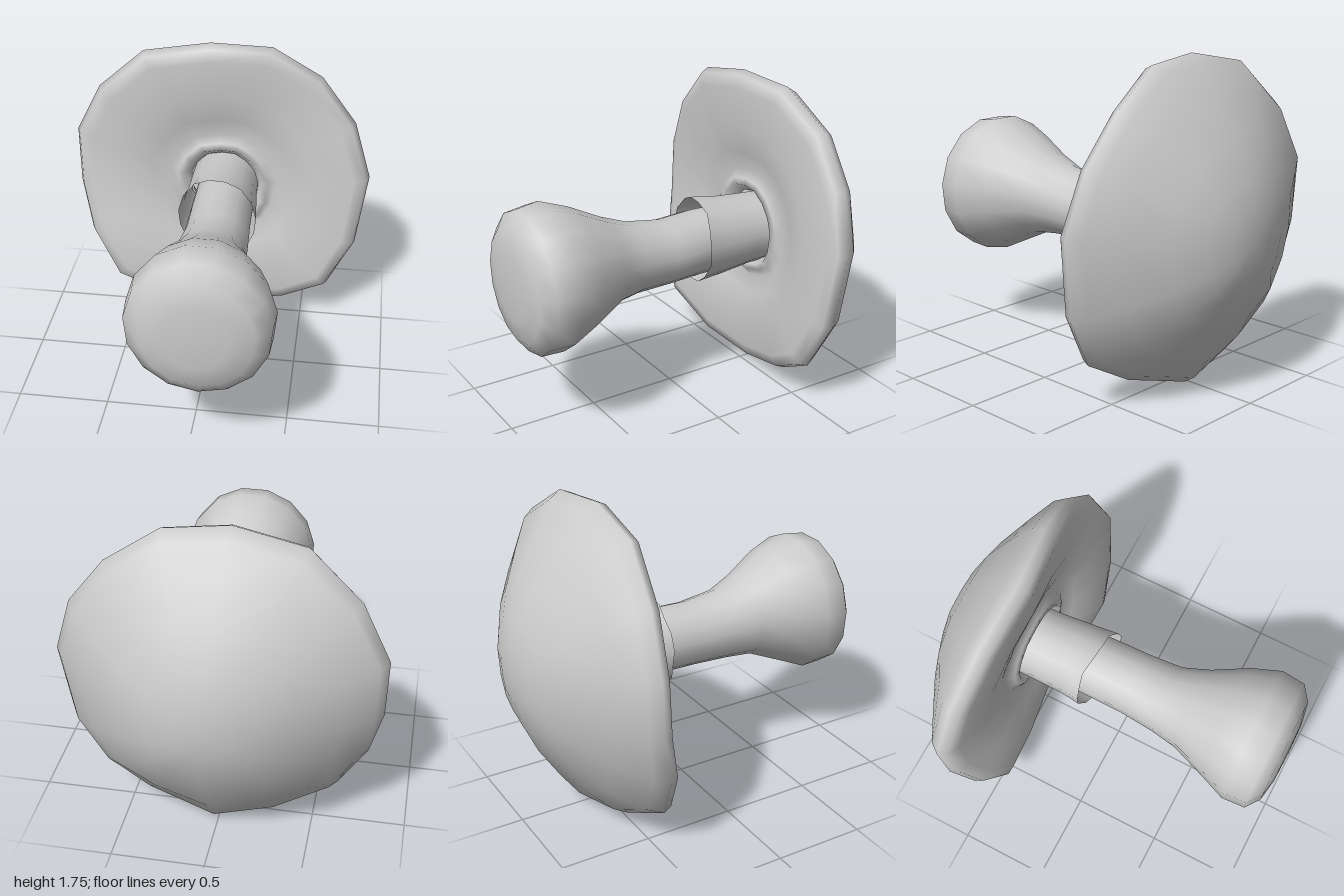
import * as THREE from 'three';
import { mergeVertices } from 'three/addons/utils/BufferGeometryUtils.js';

// Skin closed rings of points (counter-clockwise seen from +z, ordered along the surface)
function loft(rings) {
  const n = rings[0].length, index = [];
  for (let r = 0; r < rings.length - 1; r++) {
    for (let i = 0; i < n; i++) {
      const j = (i + 1) % n, a = r * n, b = a + n;
      index.push(a + i, a + j, b + j, a + i, b + j, b + i);
    }
  }
  let geo = new THREE.BufferGeometry();
  geo.setAttribute('position', new THREE.Float32BufferAttribute(rings.flat(2), 3));
  geo.setIndex(index);
  geo = mergeVertices(geo, 1e-4);
  geo.computeVertexNormals();
  return geo;
}

// Oval ring from its extents: z, left x, right x, bottom y, top y
function oval([z, x0, x1, y0, y1], sides, edge = () => 0) {
  return Array.from({ length: sides }, (_, i) => {
    const t = (i / sides) * Math.PI * 2 - Math.PI / 2;
    return [
      (x0 + x1) / 2 + (x1 - x0) / 2 * Math.cos(t),
      (y0 + y1) / 2 + (y1 - y0) / 2 * Math.sin(t),
      z + edge(t),
    ];
  });
}

export function createModel() {
  const group = new THREE.Group();
  const add = (name, geo, side = THREE.FrontSide) => {
    const mesh = new THREE.Mesh(geo, new THREE.MeshStandardMaterial({ color: 0xcccccc, side }));
    mesh.name = name;
    group.add(mesh);
  };

  // Cap: uneven wavy rim (x, y, z), scaled inward over the dome and the gills
  const rim = [
    [0.02, 0, -0.56], [0.40, 0.11, -0.50], [0.65, 0.25, -0.46], [0.80, 0.53, -0.49],
    [0.86, 0.96, -0.52], [0.76, 1.28, -0.56], [0.56, 1.54, -0.58], [0.28, 1.72, -0.54],
    [-0.06, 1.745, -0.50], [-0.44, 1.67, -0.52], [-0.71, 1.42, -0.56], [-0.86, 1.12, -0.59],
    [-0.85, 0.79, -0.57], [-0.78, 0.50, -0.50], [-0.62, 0.22, -0.45], [-0.31, 0.06, -0.50],
  ];
  // Scale of the rim, depth, share of the rim's waviness
  const capProfile = [
    [0, -1, 0], [0.18, -0.99, 0], [0.35, -0.95, 0], [0.55, -0.87, 0.1], [0.78, -0.74, 0.3],
    [0.95, -0.62, 0.8], [1, -0.55, 1], [0.975, -0.50, 1], [0.9, -0.48, 0.9], [0.65, -0.48, 0.5],
    [0.48, -0.51, 0.2], [0.36, -0.54, 0], [0.31, -0.51, 0], [0.27, -0.50, 0], [0.22, -0.56, 0],
  ];
  const cx = 0.02, cy = 0.85;
  add('cap', loft(capProfile.map(([f, z, w]) =>
    rim.map(([x, y, rz]) => [cx + (x - cx) * f, cy + (y - cy) * f, z + (rz + 0.53) * w]))),
  THREE.DoubleSide);

  // Stem with a bulbous foot
  const stem = [
    [-0.62, -0.13, 0.21, 0.67, 1.02], [-0.12, -0.13, 0.22, 0.665, 1.03],
    [0.08, -0.13, 0.23, 0.66, 1.02], [0.28, -0.15, 0.24, 0.655, 1.05],
    [0.43, -0.18, 0.29, 0.64, 1.11], [0.62, -0.25, 0.39, 0.55, 1.21],
    [0.78, -0.31, 0.45, 0.475, 1.27], [0.91, -0.30, 0.44, 0.48, 1.25],
    [0.97, -0.22, 0.36, 0.56, 1.17], [0.99, -0.10, 0.24, 0.68, 1.04],
    [0.995, 0.07, 0.07, 0.86, 0.86],
  ];
  add('stem', loft(stem.map((r) => oval(r, 15))));

  // Skirt: thin loose sleeve with a ragged front edge
  const ragged = (t) => 0.022 * Math.cos(t) - 0.012 * Math.sin(t) + 0.008 * Math.sin(5 * t);
  add('skirt', loft([
    oval([-0.60, -0.18, 0.22, 0.65, 1.04], 15),
    oval([-0.46, -0.18, 0.22, 0.645, 1.05], 15),
    oval([-0.28, -0.18, 0.235, 0.63, 1.07], 15),
    oval([-0.135, -0.195, 0.25, 0.62, 1.095], 15, ragged),
  ]), THREE.DoubleSide);

  return group;
}
